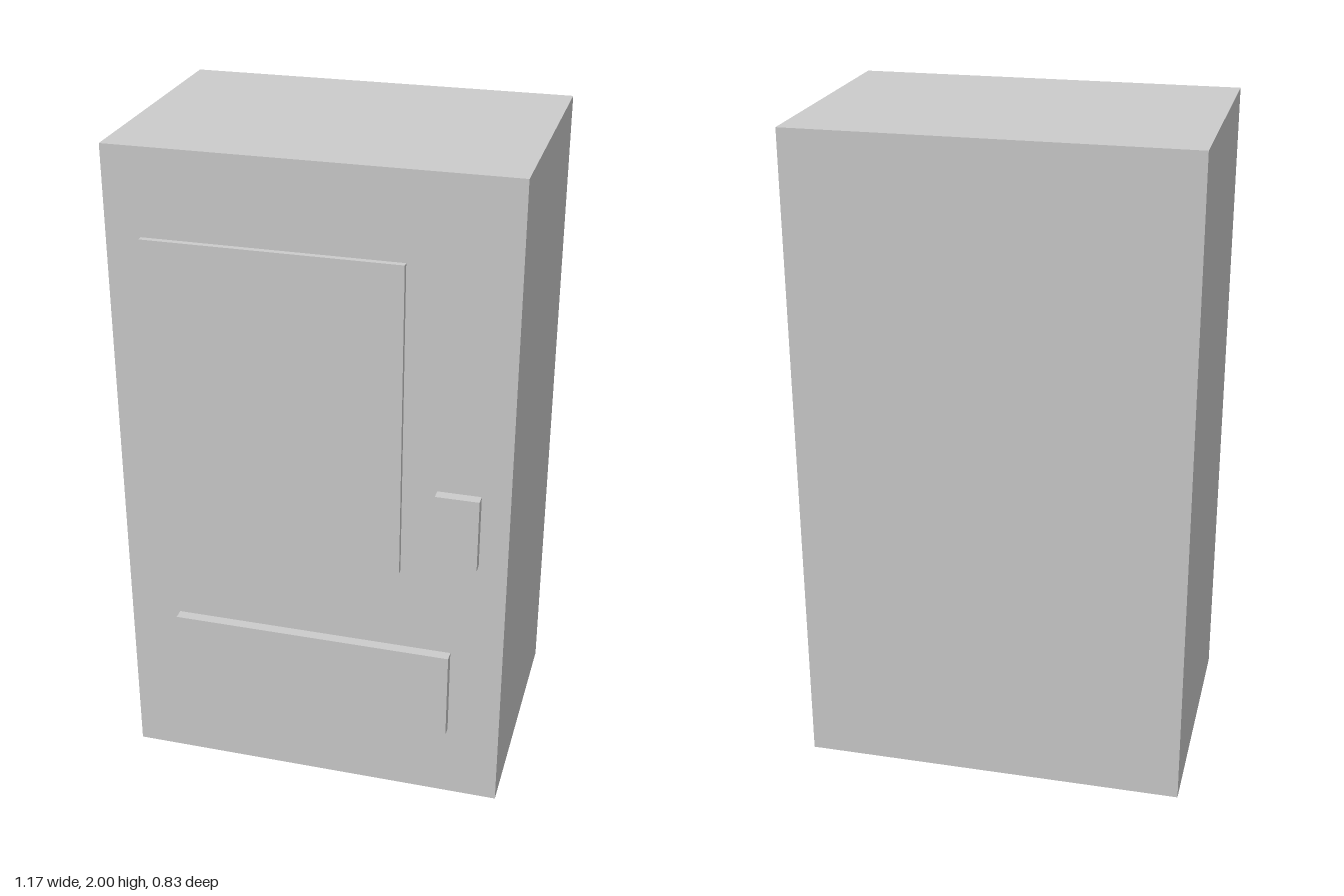
import * as THREE from 'three';

const BACK = -0.417;
const FACE = 0.384; // z of the cabinet's front face

export function createModel() {
  const model = new THREE.Group();
  model.name = 'vendingMachine';
  const material = new THREE.MeshStandardMaterial({ color: 0xcccccc, flatShading: true });

  // Adds a box given by its extents along each axis
  function addBox(name, [x0, x1], [y0, y1], [z0, z1]) {
    const mesh = new THREE.Mesh(new THREE.BoxGeometry(x1 - x0, y1 - y0, z1 - z0), material);
    mesh.position.set((x0 + x1) / 2, (y0 + y1) / 2, (z0 + z1) / 2);
    mesh.name = name;
    model.add(mesh);
  }

  // Cabinet
  addBox('cabinet', [-0.584, 0.584], [0, 2], [BACK, FACE]);

  // Raised panels, sunk slightly into the front face
  const sunk = FACE - 0.01;
  addBox('displayWindow', [-0.48, 0.27], [0.785, 1.742], [sunk, 0.402]);
  addBox('coinPanel', [0.372, 0.5], [0.838, 1.065], [sunk, 0.417]);
  addBox('dispenserFlap', [-0.427, 0.427], [0.24, 0.52], [sunk, 0.417]);

  return model;
}
